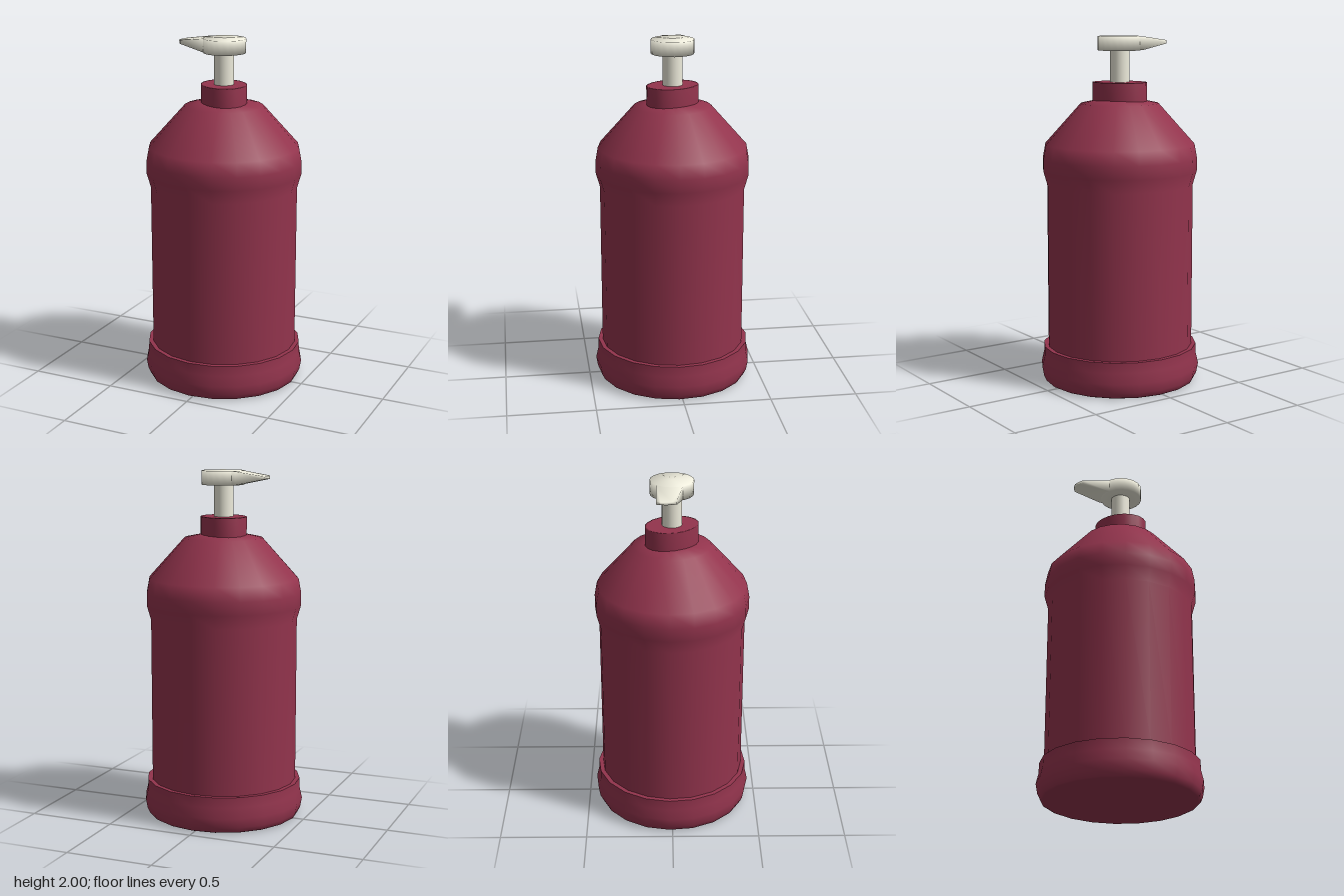
import * as THREE from 'three';
import { mergeVertices } from 'three/addons/utils/BufferGeometryUtils.js';

const SIDES = 20;
const bodyMaterial = new THREE.MeshStandardMaterial({ color: 0x93344d });
const pumpMaterial = new THREE.MeshStandardMaterial({ color: 0xeeecdc });

// Turned part: profile is a list of [radius, height] from bottom to top
function turned(name, profile, material) {
  const points = profile.map(([r, y]) => new THREE.Vector2(r, y));
  const mesh = new THREE.Mesh(new THREE.LatheGeometry(points, SIDES, -0.042), material);
  mesh.name = name;
  return mesh;
}

// Flat nozzle that thins towards its tip
function makeSpout() {
  const outline = [
    [0, -0.085], [-0.105, -0.085], [-0.268, -0.085], [-0.283, -0.062], [-0.29, -0.032],
    [-0.28, 0], [-0.263, 0.024], [-0.105, 0.058], [0, 0.075],
  ];
  const shape = new THREE.Shape(outline.map(([x, z]) => new THREE.Vector2(x, -z)));
  const geometry = new THREE.ExtrudeGeometry(shape, { depth: 1, bevelEnabled: false });
  geometry.rotateX(-Math.PI / 2);
  const p = geometry.attributes.position;
  for (let i = 0; i < p.count; i++) {
    const t = THREE.MathUtils.clamp((-0.105 - p.getX(i)) / 0.185, 0, 1);
    const low = THREE.MathUtils.lerp(1.922, 1.96, t);
    const high = THREE.MathUtils.lerp(1.998, 1.972, t);
    p.setY(i, p.getY(i) > 0.5 ? high : low);
  }
  geometry.deleteAttribute('normal');
  geometry.deleteAttribute('uv');
  const smooth = mergeVertices(geometry);
  smooth.computeVertexNormals();
  const mesh = new THREE.Mesh(smooth, pumpMaterial);
  mesh.name = 'spout';
  return mesh;
}

export function createModel() {
  const model = new THREE.Group();
  model.name = 'pumpBottle';

  // Base band with a rounded foot
  const base = turned('base', [
    [0, 0], [0.43, 0], [0.442, 0.006], [0.456, 0.035], [0.466, 0.09],
    [0.452, 0.15], [0.45, 0.21], [0.45, 0.21], [0.41, 0.21],
  ], bodyMaterial);

  // Straight wall, bulging shoulder and slope to the neck
  const body = turned('body', [
    [0.424, 0.2], [0.424, 1.155], [0.447, 1.235], [0.447, 1.31],
    [0.432, 1.39], [0.225, 1.62], [0.12, 1.642], [0, 1.642],
  ], bodyMaterial);
  base.scale.z = body.scale.z = 0.985;

  // Slightly oval neck, turned off axis
  const neck = turned('neck', [
    [0.145, 1.61], [0.145, 1.74], [0.135, 1.741], [0, 1.741],
  ], bodyMaterial);
  neck.scale.set(1.1, 1, 0.9);
  neck.rotation.y = -0.96;

  // Pump: stem, round head and spout
  const pump = new THREE.Group();
  pump.name = 'pump';
  const stem = turned('stem', [[0.056, 1.73], [0.056, 1.93]], pumpMaterial);
  const head = turned('head', [
    [0, 1.92], [0.122, 1.92], [0.122, 2], [0, 2],
  ], pumpMaterial);
  head.position.x = 0.004;
  pump.add(stem, head, makeSpout());

  model.add(base, body, neck, pump);
  return model;
}
